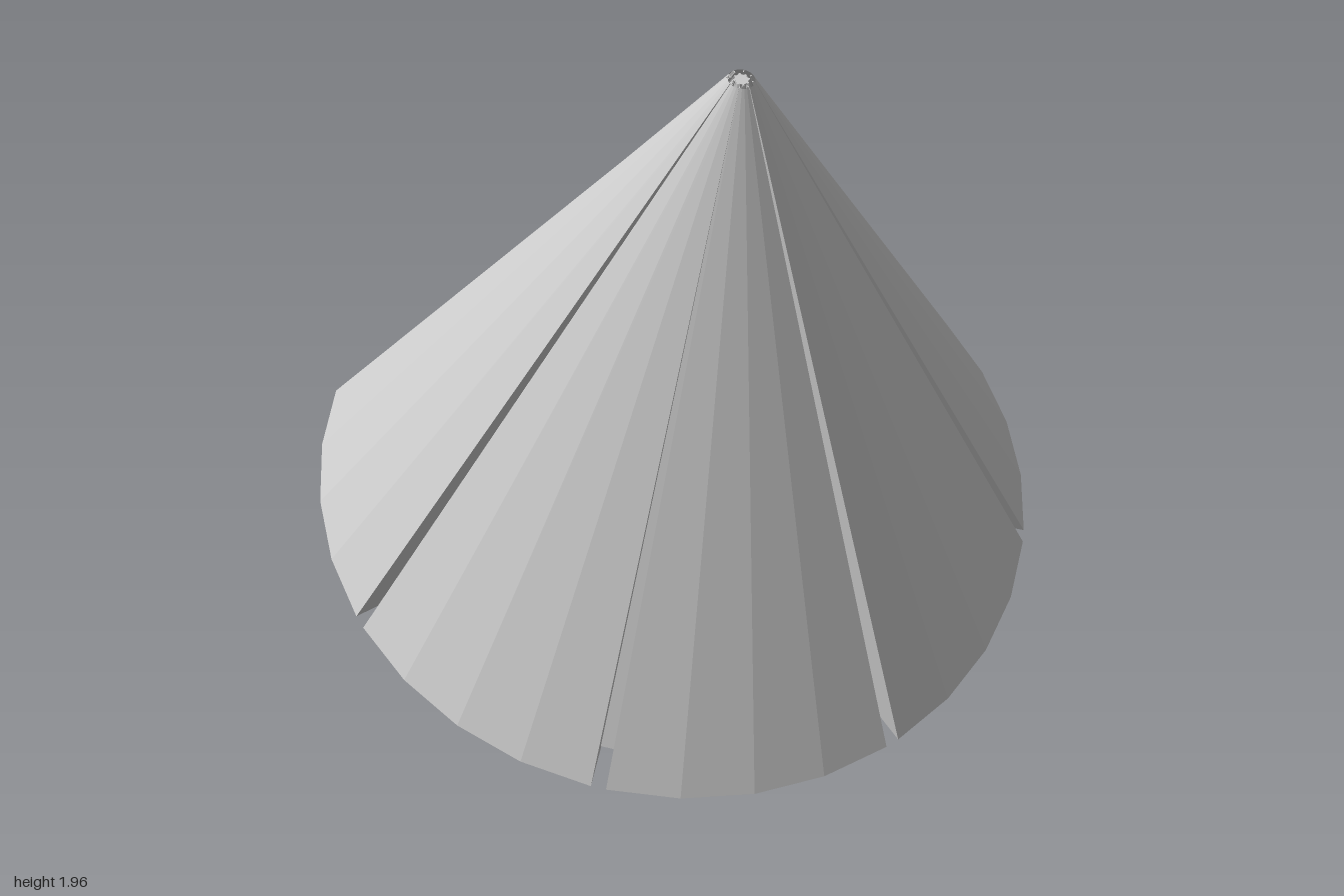
import * as THREE from 'three';

const grey = new THREE.MeshStandardMaterial({ color: 0xcccccc, flatShading: true, side: THREE.DoubleSide });

// Walls that taper from the tip (y = 0) down to y = -depth, following a
// cross-section of [radius, angle in degrees] points. A closed four-sided
// section becomes a solid bar; "slide" moves the lower end backwards.
function taper(name, section, depth, { slide = 0, solid = false } = {}) {
  const n = section.length, pos = [], index = [], tip = 0.03;
  for (const [k, y, dz] of [[1, -depth, slide], [tip, 0, 0]]) {
    for (const [r, deg] of section) {
      const a = THREE.MathUtils.degToRad(deg);
      pos.push(r * k * Math.sin(a), y, r * k * Math.cos(a) + dz);
    }
  }
  for (let i = 0; i < (solid ? n : n - 1); i++) {
    const j = (i + 1) % n;
    index.push(i, j, n + j, i, n + j, n + i);
  }
  if (solid) index.push(0, 2, 1, 0, 3, 2, 4, 5, 6, 4, 6, 7);
  const indexed = new THREE.BufferGeometry();
  indexed.setAttribute('position', new THREE.Float32BufferAttribute(pos, 3));
  indexed.setIndex(index);
  const geometry = indexed.toNonIndexed();
  geometry.computeVertexNormals();
  const mesh = new THREE.Mesh(geometry, grey);
  mesh.name = name;
  return mesh;
}

// Solid tapered bar between two radii
function bar(name, mid, half, rIn, rOut, depth, slide = 0) {
  const section = [[rOut, mid - half], [rOut, mid + half], [rIn, mid + half], [rIn, mid - half]];
  return taper(name, section, depth, { slide, solid: true });
}

// Outer panel: curved sheet with its side edges folded inwards and a short return lip
function panel(mid, depth, slide) {
  const half = 21.4, segs = 4;
  const section = [[0.85, mid - 13], [0.85, mid - half]];
  for (let i = 0; i <= segs; i++) section.push([0.96, mid - half + (2 * half * i) / segs]);
  section.push([0.85, mid + half], [0.85, mid + 13]);
  return taper('outerPanel', section, depth, { slide });
}

export function createModel() {
  const model = new THREE.Group();
  model.name = 'splitCone';
  const cone = new THREE.Group();
  cone.name = 'tiltedCone';
  cone.position.set(0, 1.945, 0.735);
  cone.rotation.x = THREE.MathUtils.degToRad(24.8);
  model.add(cone);

  // eight panels; the three at the back hang lower and further out
  for (let i = 0; i < 8; i++) {
    const back = i >= 3 && i <= 5;
    cone.add(panel(i * 45, back ? 1.81 : 1.43, back ? -0.11 : 0));
  }

  for (const side of [-1, 1]) {
    // ribs below the gaps between panels
    cone.add(bar('frontRib', side * 22.5, 2.5, 0.72, 0.87, 1.4));
    cone.add(bar('frontSideRib', side * 67.5, 2.5, 0.72, 0.87, 1.43));
    cone.add(bar('backSideRib', side * 111, 3, 0.7, 0.84, 1.51));
    cone.add(bar('backRib', side * 157.5, 2.5, 0.74, 0.89, 1.7, -0.1));
    // long side legs
    cone.add(bar('sideLeg', side * 90, 4.5, 0.515, 0.6, 2.02));
  }

  // stepped inner tiers of radiating bars: [inner radius, outer radius, depth, half angle]
  const tiers = [
    [0.52, 0.6, 1.54, 7],
    [0.42, 0.53, 1.594, 12],
    [0.3, 0.39, 1.68, 14],
    [0.18, 0.265, 1.81, 15],
  ];
  for (const [rIn, rOut, depth, half] of tiers) {
    for (let i = 0; i < 8; i++) cone.add(bar('tierBar', i * 45, half, rIn, rOut, depth));
  }

  // central column: two stacked eight-sided tapers
  for (const [r, depth] of [[0.16, 1.92], [0.105, 2.1]]) {
    const geometry = new THREE.CylinderGeometry(0.015, r, depth, 8);
    geometry.rotateY(Math.PI / 8);
    geometry.translate(0, -depth / 2, 0);
    const column = new THREE.Mesh(geometry, grey);
    column.name = 'centreColumn';
    cone.add(column);
  }

  return model;
}
